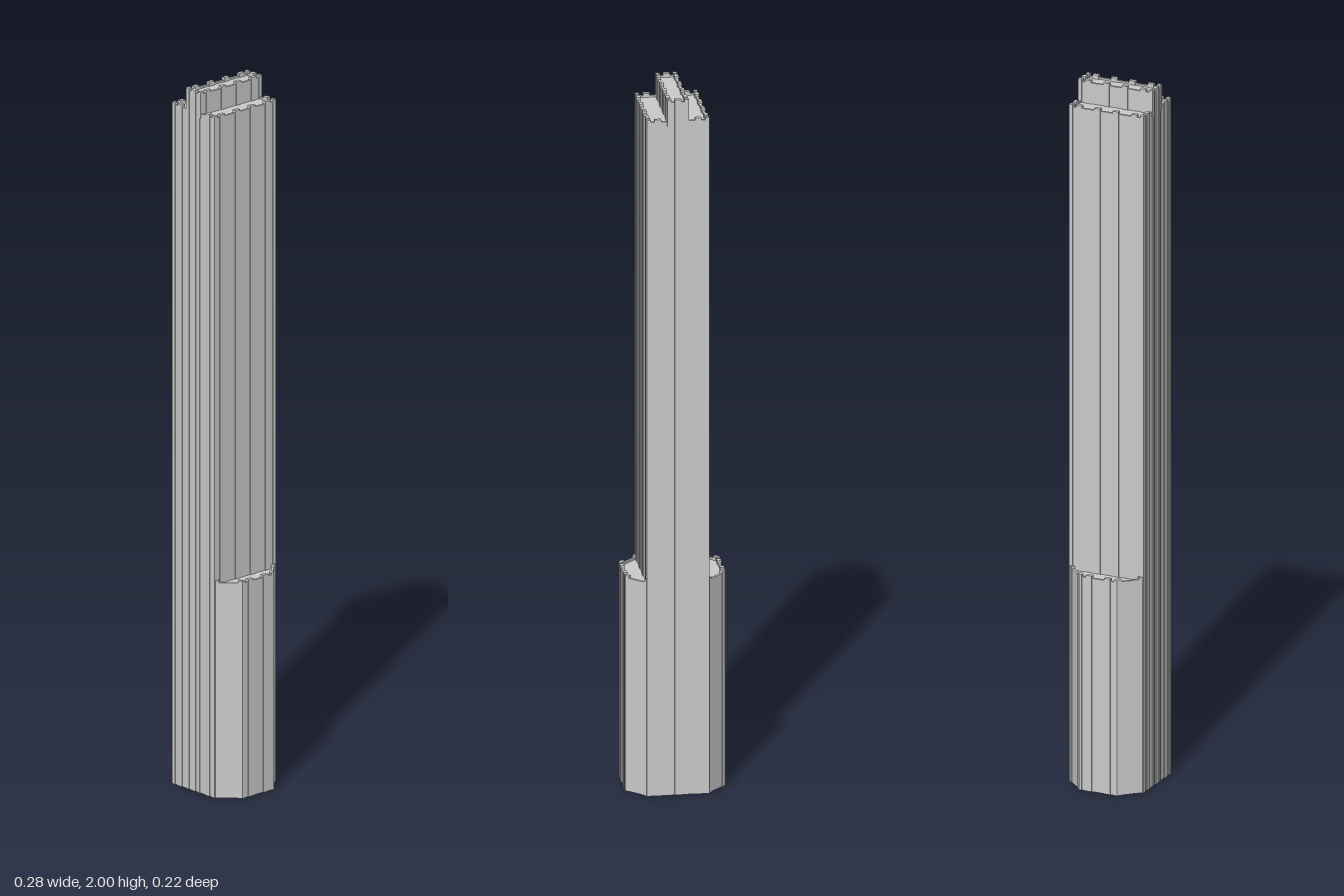
import * as THREE from 'three';

const WALL = 0.007, RIB = 0.011, RIB_W = 0.018, LIP = 0.007;
const PITCH = 0.055;
const HX = 0.08, HZ = 0.1065, WX = 0.1325, WZ = 0.053, FIN = 0.024;
const WING_TOP = 0.62, SHOULDER = 1.945, TOP = 2;

export function createModel() {
  const model = new THREE.Group();
  const mat = new THREE.MeshStandardMaterial({ color: 0xcccccc, flatShading: true });
  const roofMat = mat.clone();
  roofMat.side = THREE.DoubleSide;

  // Wall from plan point a to b, with ribs (distance from the middle, width) rising above it
  function wall(name, a, b, y0, y1, ribs) {
    const g = new THREE.Group();
    g.name = name;
    const dx = b[0] - a[0], dz = b[1] - a[1], len = Math.hypot(dx, dz);
    const add = (part, w, h, d, x) => {
      const m = new THREE.Mesh(new THREE.BoxGeometry(w, h, d), mat);
      m.name = part;
      m.position.set(x, y0 + h / 2, 0);
      g.add(m);
    };
    add('panel', len, y1 - y0 - LIP, WALL, 0);
    for (const [x, w] of ribs) add('rib', w, y1 - y0, RIB, x);
    g.position.set((a[0] + b[0]) / 2, 0, (a[1] + b[1]) / 2);
    g.rotation.y = Math.atan2(-dz, dx);
    model.add(g);
  }

  // Flat roof from a plan outline
  function roof(name, pts, y) {
    const shape = new THREE.Shape(pts.map(([x, z]) => new THREE.Vector2(x, -z)));
    const m = new THREE.Mesh(new THREE.ShapeGeometry(shape).rotateX(-Math.PI / 2), roofMat);
    m.name = name;
    m.position.y = y;
    model.add(m);
  }

  const longRibs = [-1.5, -0.5, 0.5, 1.5].map(k => [k * PITCH, RIB_W]);
  longRibs.push([-HZ, RIB], [HZ, RIB]);

  for (const s of [1, -1]) {
    // Front and back faces: stepped shoulders around the raised centre
    wall('centreFace', [-FIN, s * HZ], [FIN, s * HZ], 0, TOP,
      [[0, RIB_W], [-FIN + 0.003, 0.006], [FIN - 0.003, 0.006]]);
    for (const t of [1, -1]) {
      const x0 = t > 0 ? FIN : -HX, x1 = t > 0 ? HX : -FIN, mid = (x0 + x1) / 2;
      wall('shoulderFace', [x0, s * HZ], [x1, s * HZ], 0, SHOULDER,
        [[t * PITCH - mid, RIB_W], [t * HX - mid, RIB]]);

      // Chamfered corners of the wings
      const half = Math.hypot(WX - HX, HZ - WZ) / 2;
      wall('wingChamfer', [t * HX, s * HZ], [t * WX, s * WZ], 0, WING_TOP,
        [[-half + 0.005, 0.014], [half - 0.005, 0.014]]);
    }

    // Long sides of the wings, the shaft and the raised centre
    wall('wingSide', [s * WX, -WZ], [s * WX, WZ], 0, WING_TOP,
      [[-PITCH / 2, RIB_W], [PITCH / 2, RIB_W], [-WZ, 0.008], [WZ, 0.008]]);
    wall('shaftSide', [s * HX, -HZ], [s * HX, HZ], WING_TOP - 0.02, SHOULDER, longRibs);
    wall('crownSide', [s * FIN, -HZ], [s * FIN, HZ], SHOULDER - 0.02, TOP, longRibs);

    // Roofs of the lower steps
    roof('wingRoof', [[s * HX, -HZ], [s * WX, -WZ], [s * WX, WZ], [s * HX, HZ]], WING_TOP - 0.012);
    roof('shoulderRoof', [[s * FIN, -HZ], [s * HX, -HZ], [s * HX, HZ], [s * FIN, HZ]], SHOULDER - 0.012);
  }
  roof('crownRoof', [[-FIN, -HZ], [FIN, -HZ], [FIN, HZ], [-FIN, HZ]], TOP - 0.012);

  return model;
}
